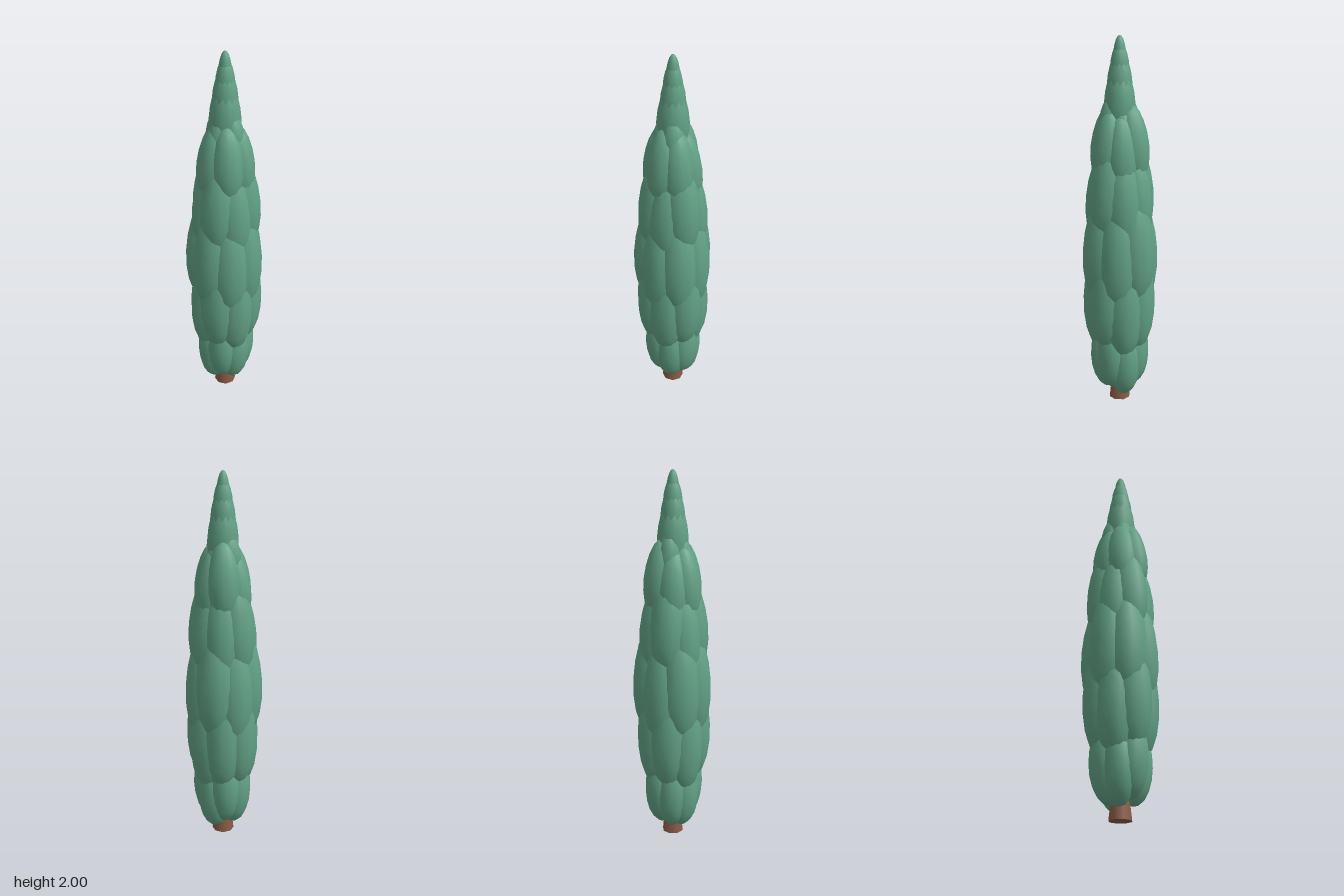
import * as THREE from 'three';

const leafMat = new THREE.MeshStandardMaterial({ color: 0x62a186 });
leafMat.name = 'leaf green';
const barkMat = new THREE.MeshStandardMaterial({ color: 0x8a5a45 });
barkMat.name = 'bark brown';

// Egg-shaped tuft: widest just below the middle, narrowing to a soft tip
function tuftGeometry() {
  const g = new THREE.SphereGeometry(1, 12, 10);
  const p = g.attributes.position, n = g.attributes.normal;
  const v = new THREE.Vector3();
  for (let i = 0; i < p.count; i++) {
    const k = 1 - 0.12 * p.getY(i);
    p.setX(i, p.getX(i) * k);
    p.setZ(i, p.getZ(i) * k);
    // Tilt normals by the same taper
    v.fromBufferAttribute(n, i);
    v.y += 0.12 * (1 - v.y * v.y);
    v.normalize();
    n.setXYZ(i, v.x, v.y, v.z);
  }
  return g;
}

// Rings of tufts; start is the first angle in degrees (0 = front, 90 = +x)
const tiers = [
  { y: 0.27, halfHeight: 0.2, outer: 0.162, size: 0.086, lean: -0.08, count: 7, start: -10 },
  { y: 0.62, halfHeight: 0.32, outer: 0.199, size: 0.106, lean: 0, count: 7, start: 32 },
  { y: 0.89, halfHeight: 0.32, outer: 0.209, size: 0.112, lean: 0.02, count: 7, start: 14 },
  { y: 1.19, halfHeight: 0.275, outer: 0.182, size: 0.102, lean: 0.06, count: 7, start: -22 },
  { y: 1.43, halfHeight: 0.21, outer: 0.154, size: 0.086, lean: 0.08, count: 6, start: -42 },
  { y: 1.56, halfHeight: 0.13, outer: 0.106, size: 0.06, lean: 0.1, count: 4, start: 0 },
];

// Profile of the inner foliage: radius, height
const coreProfile = [
  [0, 0.1], [0.06, 0.12], [0.1, 0.25], [0.135, 0.5], [0.155, 0.8],
  [0.145, 1.05], [0.12, 1.3], [0.08, 1.52], [0, 1.75],
];

// Stacked crown lobes on the axis: centre height, half height, radius
const crownLobes = [[1.66, 0.2, 0.082], [1.76, 0.16, 0.065], [1.84, 0.125, 0.05], [1.9, 0.1, 0.034]];

export function createModel() {
  const tree = new THREE.Group();
  tree.name = 'cypressTree';

  // Trunk, flared at the foot
  const trunk = new THREE.Mesh(new THREE.CylinderGeometry(0.035, 0.06, 0.22, 8), barkMat);
  trunk.name = 'trunk';
  trunk.position.y = 0.11;
  tree.add(trunk);

  // Inner foliage filling the gaps between tufts
  const points = coreProfile.map(([r, y]) => new THREE.Vector2(r, y));
  const core = new THREE.Mesh(new THREE.LatheGeometry(points, 10), leafMat);
  core.name = 'innerFoliage';
  tree.add(core);

  // Overlapping tufts around the body, each ring slightly uneven
  const geo = tuftGeometry();
  const foliage = new THREE.Group();
  foliage.name = 'foliageTufts';
  tiers.forEach(({ y, halfHeight, outer, size, lean, count, start }, t) => {
    for (let i = 0; i < count; i++) {
      const wobble = Math.sin(i * 2.4 + t * 1.7);
      const arm = new THREE.Group();
      arm.name = 'tuftArm';
      arm.rotation.y = THREE.MathUtils.degToRad(start + (i * 360) / count);
      const tuft = new THREE.Mesh(geo, leafMat);
      tuft.name = 'tuft';
      tuft.scale.set(size, halfHeight, size);
      tuft.position.set(0, y + wobble * 0.025, outer - size + wobble * 0.004);
      tuft.rotation.x = -lean;
      arm.add(tuft);
      foliage.add(arm);
    }
  });
  tree.add(foliage);

  // Crown narrowing to the tip
  const crown = new THREE.Group();
  crown.name = 'crown';
  crownLobes.forEach(([y, halfHeight, r], i) => {
    const lobe = new THREE.Mesh(geo, leafMat);
    lobe.name = 'crownLobe';
    lobe.scale.set(r, halfHeight, r);
    lobe.position.y = y;
    lobe.rotation.y = i * 0.7;
    crown.add(lobe);
  });
  tree.add(crown);
  return tree;
}
